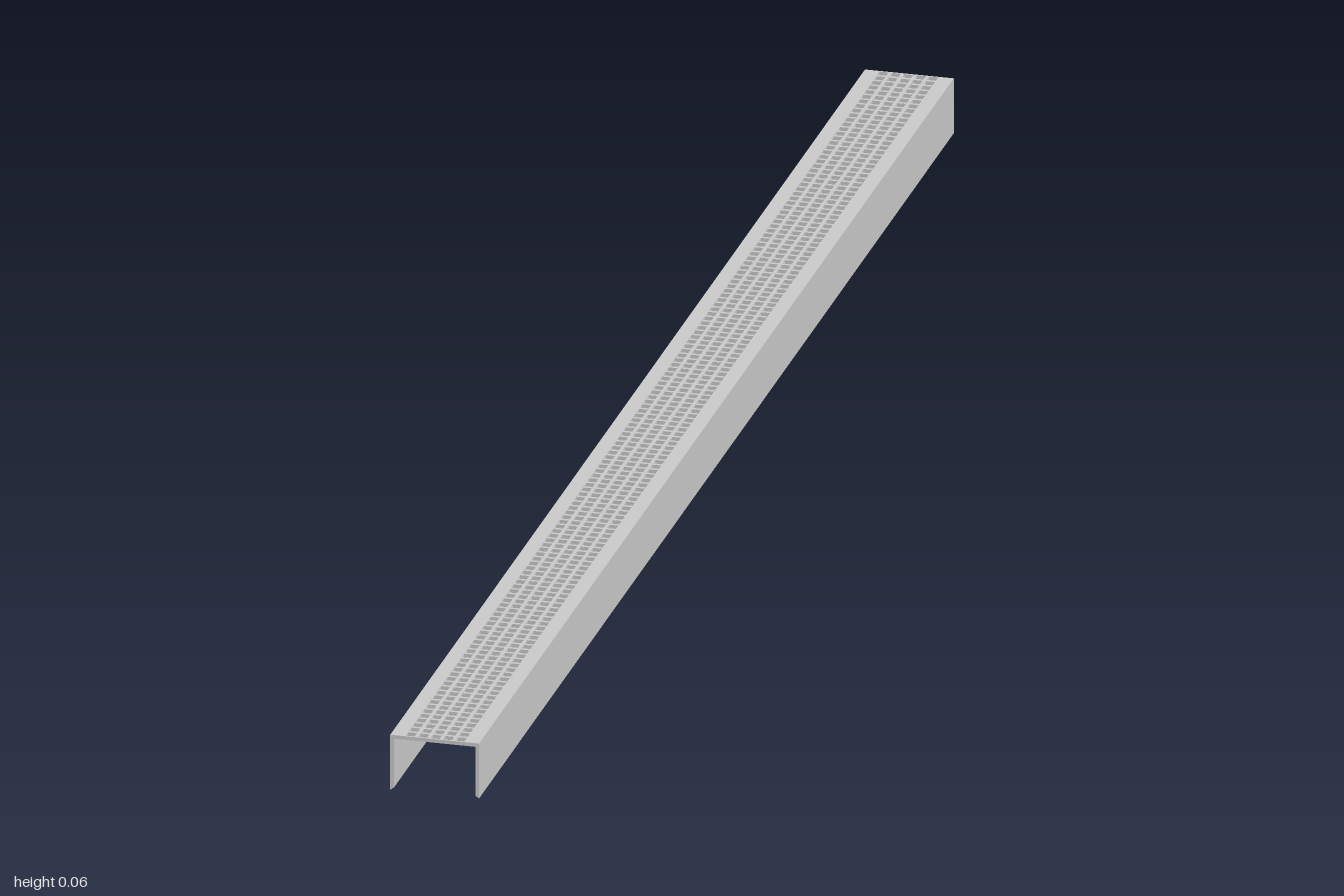
import * as THREE from 'three';

const LENGTH = 2, HALF_W = 0.05, HEIGHT = 0.0645, WALL = 0.0042;
const GRATE_W = 0.07, COLUMNS = 5, ROWS = 144, BAR = 0.004;

const material = new THREE.MeshStandardMaterial({ color: 0xcccccc, flatShading: true });

function polygon(points, Type = THREE.Shape) {
  return new Type(points.map(([x, y]) => new THREE.Vector2(x, y)));
}

function rectangle(x0, y0, x1, y1, Type) {
  return polygon([[x0, y0], [x1, y0], [x1, y1], [x0, y1]], Type);
}

// Flat top plate pierced by a regular grid of openings
function createGrating() {
  const plate = rectangle(-HALF_W, -LENGTH / 2, HALF_W, LENGTH / 2);
  const px = GRATE_W / COLUMNS, pz = LENGTH / ROWS;
  for (let row = 0; row < ROWS; row++) {
    for (let col = 0; col < COLUMNS; col++) {
      const x = -GRATE_W / 2 + (col + 0.5) * px;
      const z = -LENGTH / 2 + (row + 0.5) * pz;
      const w = (px - BAR) / 2, d = (pz - BAR) / 2;
      plate.holes.push(rectangle(x - w, z - d, x + w, z + d, THREE.Path));
    }
  }
  const geometry = new THREE.ExtrudeGeometry(plate, { depth: WALL, bevelEnabled: false });
  geometry.rotateX(Math.PI / 2).translate(0, HEIGHT, 0);
  const mesh = new THREE.Mesh(geometry, material);
  mesh.name = 'topGrating';
  return mesh;
}

// Side wall with its lower edge bevelled on the inside
function createWall(side, name) {
  const inner = HALF_W - WALL, top = HEIGHT - WALL;
  const profile = polygon([
    [side * HALF_W, 0], [side * HALF_W, top], [side * inner, top], [side * inner, 0.003],
  ]);
  const geometry = new THREE.ExtrudeGeometry(profile, { depth: LENGTH, bevelEnabled: false });
  geometry.translate(0, 0, -LENGTH / 2);
  const mesh = new THREE.Mesh(geometry, material);
  mesh.name = name;
  return mesh;
}

export function createModel() {
  const group = new THREE.Group();
  group.name = 'gratedChannel';
  group.add(createGrating(), createWall(1, 'leftWall'), createWall(-1, 'rightWall'));
  return group;
}
